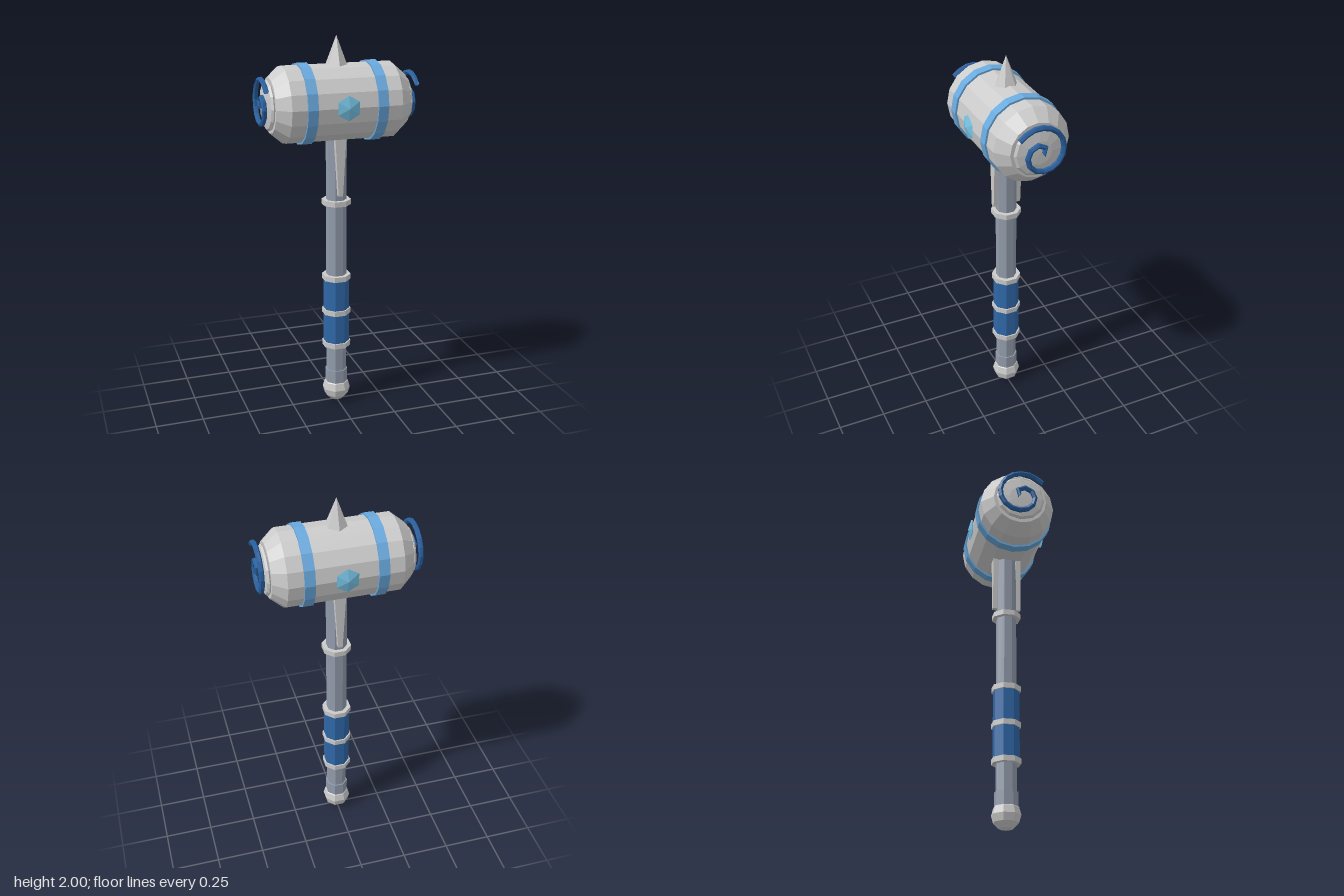
import * as THREE from 'three';

const mat = (color) => new THREE.MeshStandardMaterial({ color, flatShading: true });
const HEAD_Y = 1.667;

export function createModel() {
  const hammer = new THREE.Group();
  hammer.name = 'hammer';
  const grey = mat(0xcccccc);
  const steel = mat(0x929cab);
  const wrapBlue = mat(0x2f68a8);
  const spiralBlue = mat(0x28609f);
  const bandBlue = mat(0x6aaade);
  const gemBlue = mat(0x78c4e6);

  const add = (parent, name, geometry, material, x = 0, y = 0, z = 0) => {
    const mesh = new THREE.Mesh(geometry, material);
    mesh.name = name;
    mesh.position.set(x, y, z);
    parent.add(mesh);
    return mesh;
  };
  // Upright octagonal prism with a flat side to the front; w is its half width
  const octagon = (name, w, y0, y1, material) => {
    const r = w / Math.cos(Math.PI / 8);
    const geo = new THREE.CylinderGeometry(r, r, y1 - y0, 8).rotateY(Math.PI / 8);
    return add(hammer, name, geo, material, 0, (y0 + y1) / 2, 0);
  };
  // Lathe turned onto the x axis, profile given as [radius, x] pairs
  const latheX = (profile, sides) =>
    new THREE.LatheGeometry(profile.map(([r, x]) => new THREE.Vector2(r, x)), sides).rotateZ(-Math.PI / 2);

  // Handle
  octagon('shaft', 0.05, 0.08, 1.55, steel);
  octagon('gripWrap', 0.064, 0.35, 0.73, wrapBlue);
  octagon('pommelCollar', 0.056, 0.11, 0.19, steel);
  for (const y of [0.345, 0.535, 0.73, 1.145]) octagon('gripRing', 0.071, y - 0.014, y + 0.014, grey);
  add(hammer, 'pommel', new THREE.SphereGeometry(0.075, 8, 6).rotateY(Math.PI / 8), grey, 0, 0.075, 0);

  // Tapered braces under the head, front and back
  for (const s of [1, -1]) {
    const geo = new THREE.BoxGeometry(0.06, 0.32, 0.03);
    const p = geo.attributes.position;
    for (let i = 0; i < p.count; i++) if (p.getY(i) < 0) p.setX(i, p.getX(i) * 0.4);
    add(hammer, 'headBrace', geo, grey, 0, 1.35, s * 0.06);
  }

  // Head: barrel, bands, end caps and spirals
  const head = new THREE.Group();
  head.name = 'head';
  head.position.y = HEAD_Y;
  hammer.add(head);
  add(head, 'barrel', latheX([
    [0, -0.35], [0.14, -0.35], [0.195, -0.285], [0.195, 0.285], [0.14, 0.35], [0, 0.35],
  ], 16), grey);

  // Spiral in the y-z plane, wound inward from its loose outer end
  const turns = 530 * Math.PI / 180;
  const points = [];
  for (let i = 0; i <= 18; i++) {
    const t = i / 18;
    const a = 142 * Math.PI / 180 - t * turns;
    const r = 0.012 + 0.13 * (1 - Math.pow(t, 1.15));
    points.push(new THREE.Vector3(0, Math.sin(a) * r, -Math.cos(a) * r));
  }
  const spiralGeo = new THREE.TubeGeometry(new THREE.CatmullRomCurve3(points), 18, 0.0135, 6);
  spiralBlue.side = THREE.DoubleSide;

  for (const s of [1, -1]) {
    add(head, 'band', latheX([
      [0.185, -0.026], [0.205, -0.026], [0.205, 0.026], [0.185, 0.026],
    ], 16), bandBlue, s * 0.181);
    const cap = add(head, 'endCap', latheX([
      [0.118, 0.345], [0.127, 0.357], [0.117, 0.368], [0.06, 0.378], [0, 0.38],
    ], 12), grey);
    if (s < 0) cap.rotation.y = Math.PI;
    add(head, 'endSpiral', spiralGeo, spiralBlue, s * 0.391);
    // Six-sided gem, pointed front and back
    const gem = new THREE.Group();
    gem.name = 'gem';
    gem.position.z = s * 0.199;
    head.add(gem);
    for (const d of [1, -1]) {
      const geo = new THREE.ConeGeometry(0.063, 0.0155, 6).translate(0, 0.00775, 0).rotateX(d * Math.PI / 2);
      add(gem, 'gemHalf', geo, gemBlue);
    }
  }

  // Spike on top
  add(head, 'topSpike', new THREE.ConeGeometry(0.065, 0.17, 6), grey, 0, 2 - HEAD_Y - 0.085, 0);
  return hammer;
}
